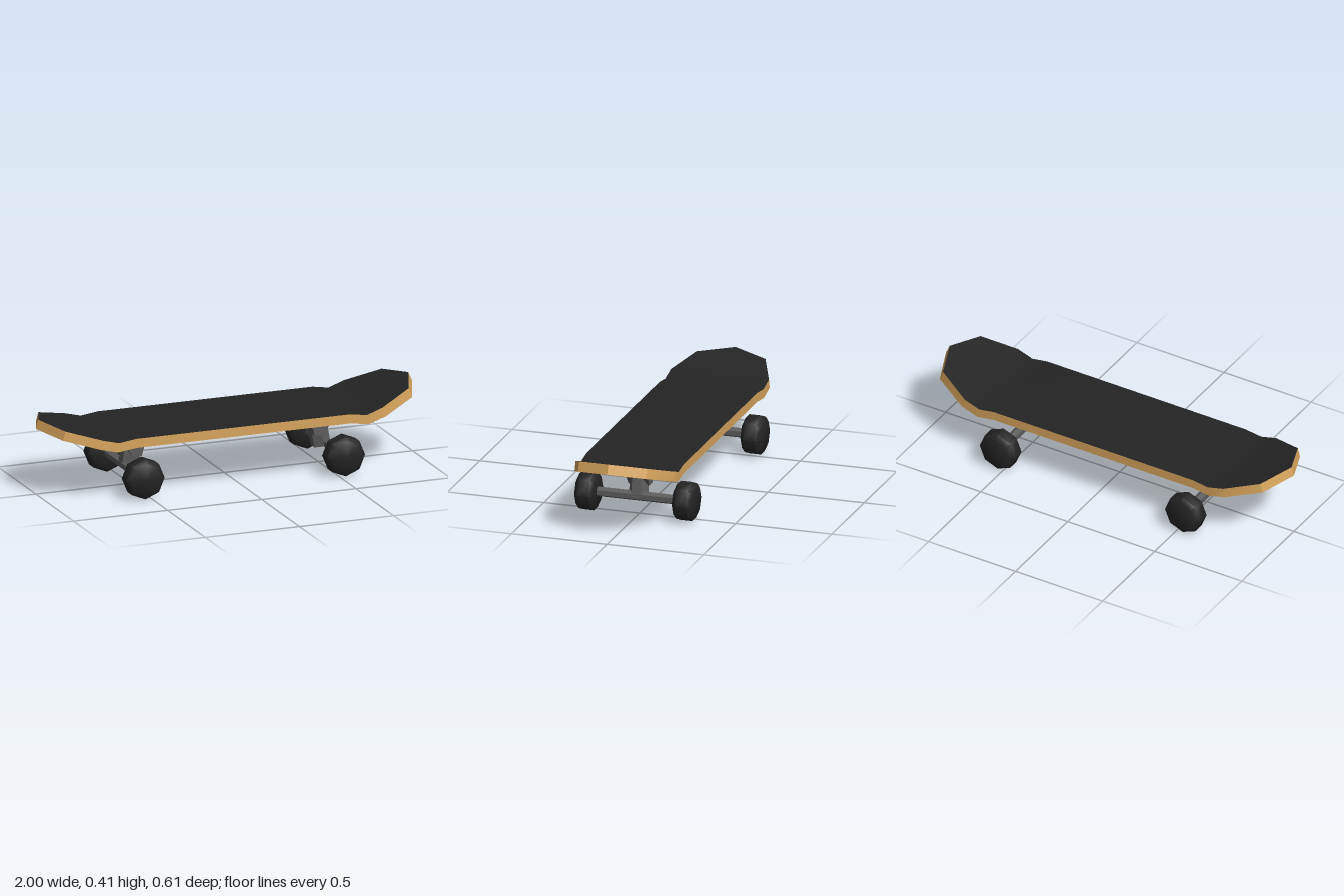
import * as THREE from 'three';
import { toCreasedNormals } from 'three/addons/utils/BufferGeometryUtils.js';

const wood = new THREE.MeshStandardMaterial({ color: 0xd6a45c });
const grip = new THREE.MeshStandardMaterial({ color: 0x242424 });
const metal = new THREE.MeshStandardMaterial({ color: 0x5c5c5c, flatShading: true });
const rubber = new THREE.MeshStandardMaterial({ color: 0x242424 });

// Deck cross-sections: top x, top y, bottom x, bottom y, half width
const sections = [
  [-0.987, 0.381, -1.0, 0.335, 0],
  [-0.915, 0.362, -0.928, 0.316, 0.18],
  [-0.745, 0.317, -0.757, 0.271, 0.255],
  [-0.66, 0.295, -0.665, 0.247, 0.255],
  [-0.57, 0.307, -0.57, 0.26, 0.255],
  [0.57, 0.307, 0.57, 0.26, 0.255],
  [0.655, 0.293, 0.665, 0.245, 0.255],
  [0.738, 0.322, 0.755, 0.275, 0.255],
  [0.908, 0.383, 0.926, 0.335, 0.18],
  [0.977, 0.408, 0.998, 0.361, 0],
].map(([tx, ty, bx, by, w]) => ({
  topL: new THREE.Vector3(tx, ty, w),
  topR: new THREE.Vector3(tx, ty, -w),
  botL: new THREE.Vector3(bx, by, w),
  botR: new THREE.Vector3(bx, by, -w),
}));

// Surface through neighbouring sections; quadsOf returns the quads between two of them
function skin(quadsOf) {
  const points = [];
  const triangle = (a, b, c) => {
    if (!a.equals(b) && !b.equals(c) && !c.equals(a)) points.push(a, b, c);
  };
  for (let i = 0; i < sections.length - 1; i++) {
    for (const [a, b, c, d] of quadsOf(sections[i], sections[i + 1])) {
      triangle(a, b, c);
      triangle(a, c, d);
    }
  }
  return toCreasedNormals(new THREE.BufferGeometry().setFromPoints(points), 0.5);
}

function addMesh(parent, name, geometry, material) {
  const mesh = new THREE.Mesh(geometry, material);
  mesh.name = name;
  parent.add(mesh);
  return mesh;
}

function createTruck(name) {
  const truck = new THREE.Group();
  truck.name = name;

  // Wedge under the deck, leaning towards the middle of the board
  const outline = new THREE.Shape([
    new THREE.Vector2(0.047, 0.265),
    new THREE.Vector2(-0.106, 0.265),
    new THREE.Vector2(-0.073, 0.152),
    new THREE.Vector2(-0.025, 0.152),
  ]);
  const base = new THREE.ExtrudeGeometry(outline, { depth: 0.11, bevelEnabled: false });
  base.translate(0, 0, -0.055);
  addMesh(truck, 'truckBase', base, metal);

  // Slanted six-sided hanger
  const hanger = new THREE.CylinderGeometry(0.05, 0.05, 0.11, 6);
  hanger.rotateZ(0.19).translate(-0.03, 0.145, 0);
  addMesh(truck, 'hanger', hanger, metal);

  const axle = new THREE.CylinderGeometry(0.025, 0.025, 0.44, 6);
  axle.rotateX(Math.PI / 2).translate(0, 0.102, 0);
  addMesh(truck, 'axle', axle, metal);

  // Eight-sided wheels with chamfered rims
  const profile = [[0, -0.05], [0.08, -0.05], [0.102, -0.03], [0.102, 0.03], [0.08, 0.05], [0, 0.05]]
    .map(([r, y]) => new THREE.Vector2(r, y));
  const wheel = toCreasedNormals(new THREE.LatheGeometry(profile, 8).rotateX(Math.PI / 2), 0.8);
  for (const side of [1, -1]) {
    addMesh(truck, 'wheel', wheel, rubber).position.set(0, 0.102, side * 0.255);
  }
  return truck;
}

export function createModel() {
  const model = new THREE.Group();
  model.name = 'skateboard';

  // Deck: wooden underside and rim, dark grip surface on top
  addMesh(model, 'deck', skin((a, b) => [
    [a.botR, b.botR, b.botL, a.botL],
    [a.botL, b.botL, b.topL, a.topL],
    [a.topR, b.topR, b.botR, a.botR],
  ]), wood);
  addMesh(model, 'gripSurface', skin((a, b) => [[a.topL, b.topL, b.topR, a.topR]]), grip);

  // Mirrored trucks
  const leftTruck = createTruck('leftTruck');
  leftTruck.position.x = 0.532;
  const rightTruck = createTruck('rightTruck');
  rightTruck.position.x = -0.532;
  rightTruck.rotation.y = Math.PI;
  model.add(leftTruck, rightTruck);
  return model;
}
